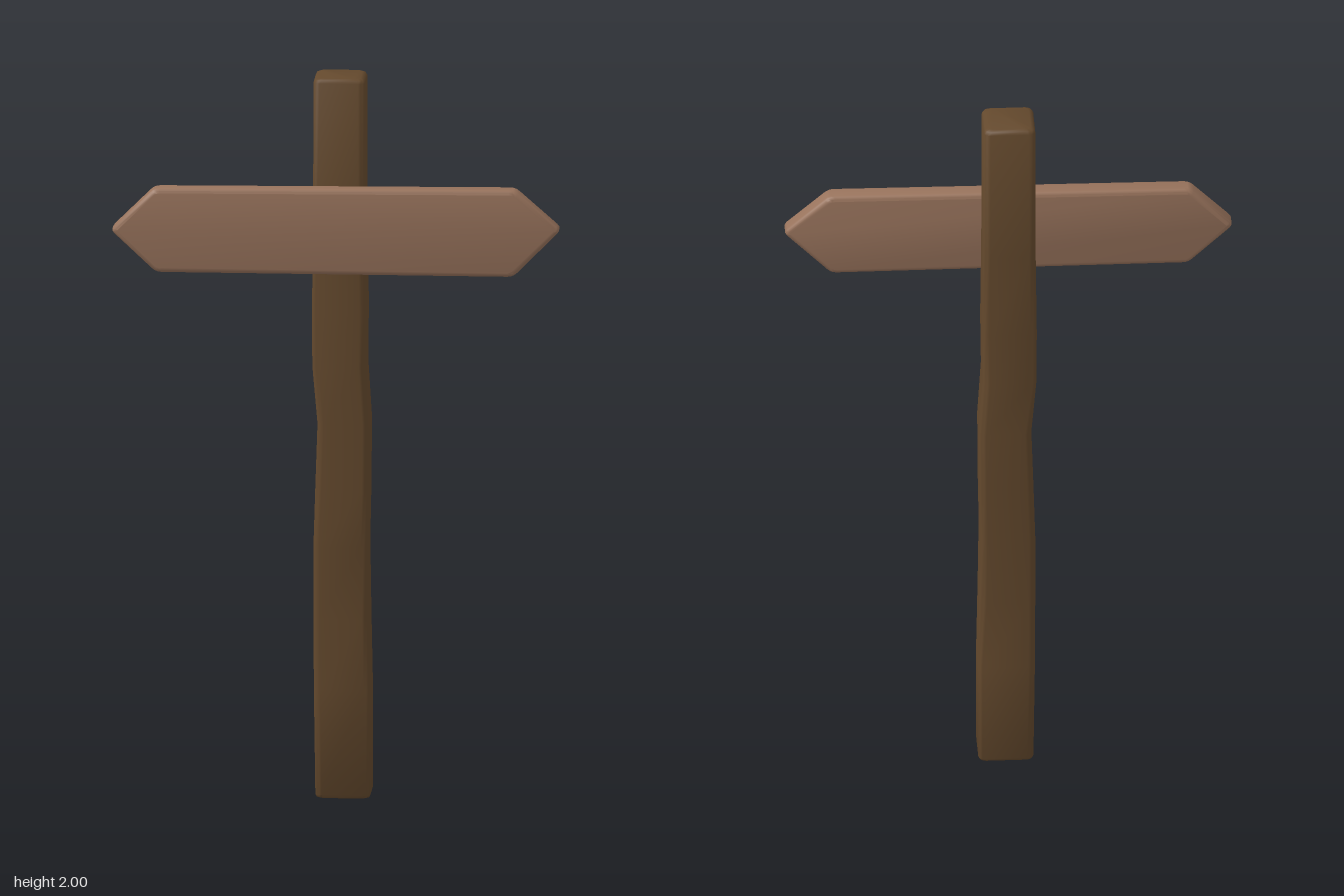
import * as THREE from 'three';
import { toCreasedNormals } from 'three/addons/utils/BufferGeometryUtils.js';

const darkWood = new THREE.MeshStandardMaterial({ color: 0x64492d });
darkWood.name = 'dark wood';
const lightWood = new THREE.MeshStandardMaterial({ color: 0x98735c });
lightWood.name = 'light wood';

// Post outline at each height: y, left x, right x, back z, front z
const sections = [
  [0.01, -0.062, 0.088, -0.102, 0.036],
  [0.3, -0.066, 0.088, -0.102, 0.036],
  [0.5, -0.067, 0.084, -0.101, 0.037],
  [0.7, -0.067, 0.081, -0.101, 0.039],
  [0.86, -0.062, 0.084, -0.106, 0.039],
  [1.04, -0.056, 0.085, -0.108, 0.038],
  [1.2, -0.070, 0.075, -0.107, 0.039],
  [1.35, -0.071, 0.077, -0.103, 0.039],
  [1.6, -0.068, 0.074, -0.101, 0.038],
  [1.988, -0.067, 0.073, -0.100, 0.036],
];

// Rounded rectangle ring, counter-clockwise seen from above
function ring([y, x0, x1, z0, z1], r = 0.018, steps = 4) {
  const points = [];
  const corners = [[x1 - r, z1 - r], [x1 - r, z0 + r], [x0 + r, z0 + r], [x0 + r, z1 - r]];
  corners.forEach(([cx, cz], c) => {
    for (let i = 0; i <= steps; i++) {
      const a = (c + i / steps) * Math.PI / 2;
      points.push([cx + r * Math.sin(a), y, cz + r * Math.cos(a)]);
    }
  });
  return points;
}

const inset = ([, x0, x1, z0, z1], y, d) => [y, x0 + d, x1 - d, z0 + d, z1 - d];

// Skin the rings and close both ends
function loft(rings) {
  const n = rings[0].length;
  const positions = rings.flat(2);
  const index = [];
  for (let k = 0; k < rings.length - 1; k++) {
    for (let i = 0; i < n; i++) {
      const j = (i + 1) % n;
      const a = k * n + i, b = k * n + j;
      index.push(a, b, b + n, a, b + n, a + n);
    }
  }
  const last = (rings.length - 1) * n;
  for (let i = 1; i < n - 1; i++) {
    index.push(0, i + 1, i);
    index.push(last, last + i, last + i + 1);
  }
  const geometry = new THREE.BufferGeometry();
  geometry.setAttribute('position', new THREE.Float32BufferAttribute(positions, 3));
  geometry.setIndex(index);
  return toCreasedNormals(geometry, 0.8);
}

// Polygon with softened corners
function softShape(points, r) {
  const pts = points.map(([x, y]) => new THREE.Vector2(x, y));
  const shape = new THREE.Shape();
  pts.forEach((p, i) => {
    const toward = (q) => p.clone().add(q.clone().sub(p).setLength(r));
    const a = toward(pts[(i + pts.length - 1) % pts.length]);
    const b = toward(pts[(i + 1) % pts.length]);
    if (i === 0) shape.moveTo(a.x, a.y);
    else shape.lineTo(a.x, a.y);
    shape.quadraticCurveTo(p.x, p.y, b.x, b.y);
  });
  shape.closePath();
  return shape;
}

export function createModel() {
  const model = new THREE.Group();
  model.name = 'signpost';
  const add = (name, geometry, material) => {
    const mesh = new THREE.Mesh(geometry, material);
    mesh.name = name;
    model.add(mesh);
    return mesh;
  };

  // Crooked post with softened ends
  const bottom = sections[0], top = sections[sections.length - 1];
  add('post', loft([
    ring(inset(bottom, 0, 0.01)),
    ring(inset(bottom, 0.003, 0.003)),
    ...sections.map((s) => ring(s)),
    ring(inset(top, 1.996, 0.004)),
    ring(inset(top, 2, 0.012)),
  ]), darkWood);

  // Double-ended arrow board
  const outline = [
    [-0.614, 1.588], [-0.49, 1.472], [0.48, 1.472],
    [0.61, 1.604], [0.485, 1.714], [-0.495, 1.706],
  ];
  const bevel = 0.013;
  const board = new THREE.ExtrudeGeometry(softShape(outline, 0.015), {
    depth: 0.057 - 2 * bevel, bevelThickness: bevel, bevelSize: bevel,
    bevelOffset: -bevel, bevelSegments: 3, curveSegments: 3,
  });
  board.translate(0, 0, 0.05 + bevel);
  board.deleteAttribute('normal');
  board.deleteAttribute('uv');
  add('arrowBoard', toCreasedNormals(board, 0.7), lightWood);

  // Mounting block between post and board
  add('mountingBlock', new THREE.BoxGeometry(0.135, 0.2, 0.04), darkWood)
    .position.set(0.003, 1.59, 0.034);

  return model;
}
